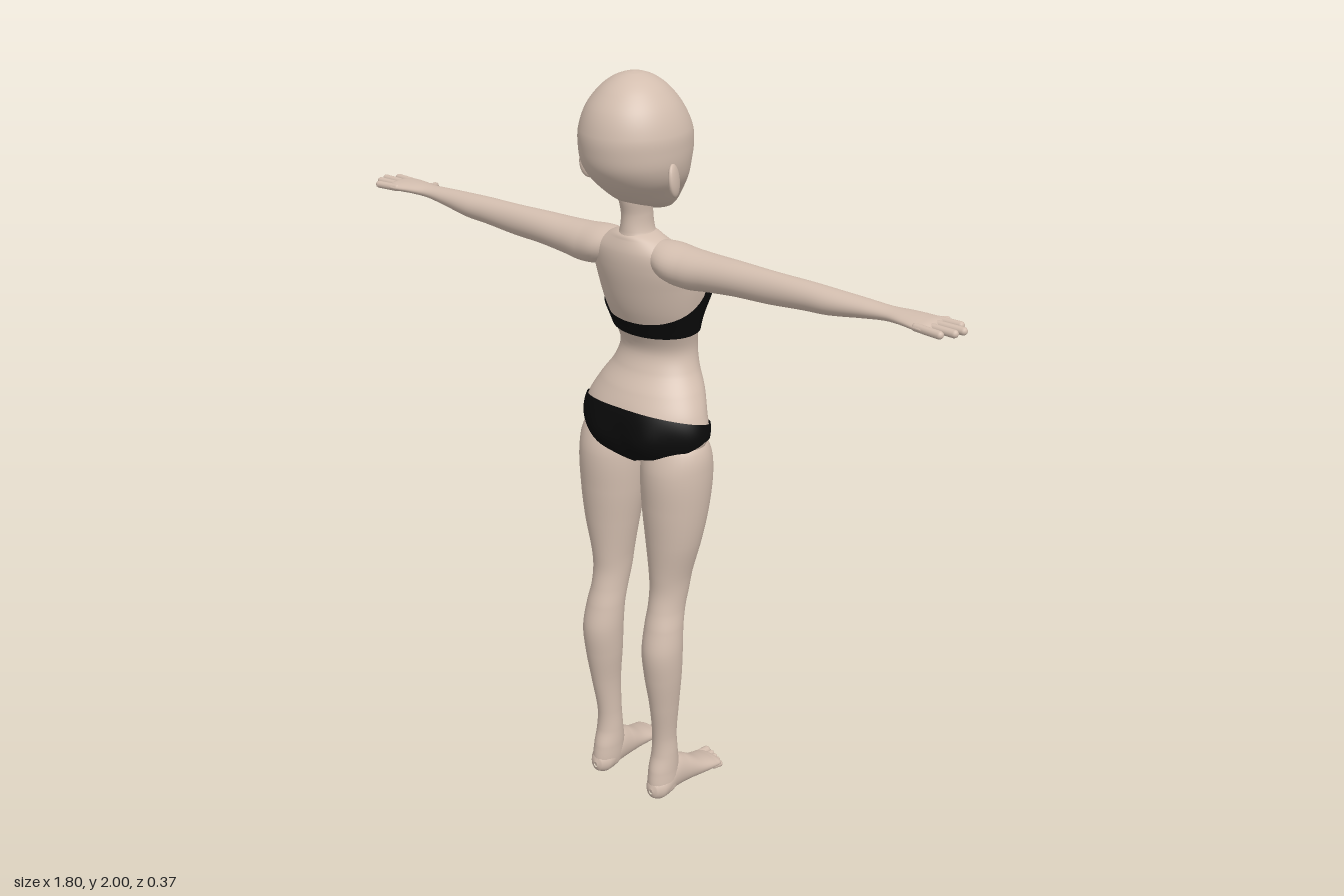
import * as THREE from 'three';
import { ParametricGeometry } from 'three/addons/geometries/ParametricGeometry.js';

const skin = new THREE.MeshStandardMaterial({ color: 0xd3beaf });
skin.name = 'skin';
const cloth = new THREE.MeshStandardMaterial({ color: 0x0a0a0a, side: THREE.DoubleSide });
cloth.name = 'black cloth';
const eyeWhite = new THREE.MeshStandardMaterial({ color: 0xe6dbd2, side: THREE.DoubleSide });
eyeWhite.name = 'eye white';

const bell = (d, w) => Math.exp(-(d * d) / (w * w));

// Smooth interpolation of section rows [t, centreA, centreB, radiusA, radiusB]
function sample(rows, t) {
  let i = 0;
  while (i < rows.length - 2 && t > rows[i + 1][0]) i++;
  const a = rows[i], b = rows[i + 1], h = b[0] - a[0], s = (t - a[0]) / h;
  const slope = (k, c) => {
    const p = rows[Math.max(k - 1, 0)], q = rows[Math.min(k + 1, rows.length - 1)];
    return (q[c] - p[c]) / (q[0] - p[0]);
  };
  return [1, 2, 3, 4].map((c) =>
    a[c] * (1 + 2 * s) * (1 - s) ** 2 + b[c] * s * s * (3 - 2 * s) +
    h * (slope(i, c) * s * (1 - s) ** 2 - slope(i + 1, c) * s * s * (1 - s)));
}

// Point on a section stack running along an axis
const point = {
  y: (rows, t, th, p) => {
    const [cx, cz, rx, rz] = sample(rows, t);
    return p.set(cx + rx * Math.sin(th), t, cz - rz * Math.cos(th));
  },
  x: (rows, t, th, p) => {
    const [cy, cz, ry, rz] = sample(rows, t);
    return p.set(t, cy + ry * Math.cos(th), cz - rz * Math.sin(th));
  },
  z: (rows, t, th, p) => {
    const [cx, cy, rx, ry] = sample(rows, t);
    return p.set(cx + rx * Math.cos(th), cy + ry * Math.sin(th), -t);
  },
};

function add(group, name, geometry, material = skin) {
  const mesh = new THREE.Mesh(geometry, material);
  mesh.name = name;
  group.add(mesh);
  return mesh;
}

// Lofted limb; side -1 mirrors it, shape adds local relief
function loft(rows, axis, side = 1, shape = null, segs = 32, steps = 5) {
  const n = rows.length - 1;
  return new ParametricGeometry((u, v, p) => {
    const k = Math.min(Math.floor(v * n), n - 1), f = v * n - k;
    const t = rows[k][0] + (rows[k + 1][0] - rows[k][0]) * f;
    const th = -2 * Math.PI * u * side;
    point[axis](rows, t, th, p);
    if (shape) shape(p, th);
    p.x *= side;
  }, segs, n * steps);
}

// Rounded bar between two points, for fingers and toes
function bar(group, name, a, b, r) {
  const A = new THREE.Vector3(...a), B = new THREE.Vector3(...b);
  const d = B.clone().sub(A);
  const mesh = add(group, name, new THREE.CapsuleGeometry(r, d.length(), 6, 12));
  mesh.position.copy(A).addScaledVector(d, 0.5);
  mesh.quaternion.setFromUnitVectors(new THREE.Vector3(0, 1, 0), d.normalize());
}

const torsoRows = [
  [0.99, 0, 0, 0.008, 0.01], [1.0, 0, 0, 0.045, 0.045], [1.03, 0, 0.004, 0.135, 0.08],
  [1.06, 0, 0.003, 0.173, 0.095], [1.1, 0, 0.001, 0.185, 0.103], [1.15, 0, -0.004, 0.173, 0.106],
  [1.2, 0, -0.023, 0.149, 0.102], [1.25, 0, -0.042, 0.119, 0.088], [1.3, 0, -0.05, 0.107, 0.08],
  [1.36, 0, -0.036, 0.118, 0.088], [1.42, 0, -0.022, 0.132, 0.097], [1.48, 0, -0.01, 0.142, 0.1],
  [1.53, 0, 0.006, 0.144, 0.092], [1.57, 0, 0.025, 0.127, 0.073], [1.6, 0, 0.034, 0.08, 0.055],
  [1.615, 0, 0.035, 0.045, 0.044], [1.62, 0, 0.035, 0.02, 0.02],
];
// Bust at the front, buttocks at the back
function torsoRelief(p, th) {
  const ax = Math.abs(p.x), sx = Math.sign(p.x);
  const front = THREE.MathUtils.smoothstep(Math.cos(th), -0.1, 0.4);
  const back = THREE.MathUtils.smoothstep(-Math.cos(th), -0.1, 0.4);
  const bust = front * bell(ax - 0.068, 0.046) * bell(p.y - 1.435, 0.05);
  p.z -= 0.058 * bust;
  p.x += sx * 0.008 * bust;
  p.z += 0.017 * back * bell(ax - 0.075, 0.055) * bell(p.y - 1.085, 0.05);
}

// Garment shell between two edge curves over the torso
function garment(low, high) {
  const rows = torsoRows.map(([t, a, b, ra, rb]) => [t, a, b, ra + 0.005, rb + 0.005]);
  return new ParametricGeometry((u, v, p) => {
    const th = -2 * Math.PI * u;
    point.y(rows, THREE.MathUtils.lerp(low(th), high(th), v), th, p);
    torsoRelief(p, th);
  }, 96, 20);
}

const headRows = [
  [1.652, 0, -0.055, 0.008, 0.01], [1.658, 0, -0.05, 0.028, 0.032], [1.67, 0, -0.035, 0.046, 0.055],
  [1.69, 0, -0.01, 0.068, 0.085], [1.72, 0, 0.01, 0.092, 0.108], [1.755, 0, 0.027, 0.116, 0.126],
  [1.79, 0, 0.037, 0.128, 0.138], [1.83, 0, 0.039, 0.132, 0.144], [1.87, 0, 0.041, 0.13, 0.141],
  [1.92, 0, 0.045, 0.112, 0.12], [1.96, 0, 0.046, 0.083, 0.088], [1.985, 0, 0.046, 0.052, 0.055],
  [1.997, 0, 0.046, 0.022, 0.024], [2.0, 0, 0.046, 0.001, 0.001],
];
// Eye hollows, nose and lips
function faceRelief(p, th) {
  if (Math.cos(th) < 0) return;
  const ax = Math.abs(p.x), y = p.y;
  p.z += 0.012 * bell(ax - 0.055, 0.035) * bell(y - 1.785, 0.03);
  p.z += 0.007 * bell(ax, 0.05) * bell(y - 1.775, 0.03);
  p.z -= 0.017 * bell(ax, 0.012) * bell(y - 1.738, 0.014);
  p.z -= 0.005 * bell(ax, 0.02) * bell(y - 1.703, 0.01);
}

const neckRows = [
  [1.56, 0, 0.035, 0.075, 0.055], [1.595, 0, 0.035, 0.056, 0.052], [1.62, 0, 0.035, 0.04, 0.047],
  [1.66, 0, 0.036, 0.035, 0.044], [1.7, 0, 0.042, 0.038, 0.046], [1.74, 0, 0.045, 0.04, 0.045],
];
const armRows = [
  [0.04, 1.572, 0.035, 0.028, 0.03], [0.1, 1.557, 0.03, 0.047, 0.06], [0.16, 1.55, 0.03, 0.05, 0.057],
  [0.22, 1.552, 0.03, 0.046, 0.05], [0.3, 1.556, 0.032, 0.042, 0.043], [0.4, 1.558, 0.035, 0.039, 0.036],
  [0.5, 1.562, 0.035, 0.034, 0.035], [0.56, 1.563, 0.035, 0.031, 0.035], [0.65, 1.568, 0.033, 0.022, 0.029],
  [0.71, 1.571, 0.033, 0.016, 0.027], [0.76, 1.573, 0.034, 0.014, 0.038], [0.8, 1.573, 0.037, 0.013, 0.045],
  [0.825, 1.573, 0.039, 0.01, 0.043], [0.835, 1.573, 0.039, 0.002, 0.03],
];
const legRows = [
  [1.11, 0.1, 0.0, 0.055, 0.05], [1.06, 0.102, 0.002, 0.085, 0.08], [1.0, 0.1025, 0.004, 0.0925, 0.095],
  [0.9, 0.103, 0.008, 0.087, 0.09], [0.8, 0.103, 0.015, 0.073, 0.076], [0.7, 0.098, 0.02, 0.054, 0.063],
  [0.65, 0.097, 0.024, 0.049, 0.058], [0.6, 0.0975, 0.036, 0.047, 0.055], [0.55, 0.1, 0.05, 0.05, 0.055],
  [0.48, 0.1025, 0.06, 0.0525, 0.059], [0.4, 0.103, 0.057, 0.048, 0.055], [0.3, 0.1025, 0.05, 0.037, 0.045],
  [0.2, 0.098, 0.043, 0.031, 0.037], [0.14, 0.098, 0.042, 0.034, 0.04], [0.09, 0.098, 0.046, 0.036, 0.05],
  [0.03, 0.1, 0.05, 0.034, 0.05], [0.008, 0.1, 0.05, 0.02, 0.03],
].reverse();
const footRows = [
  [-0.105, 0.1, 0.036, 0.006, 0.008], [-0.098, 0.1, 0.037, 0.02, 0.024], [-0.075, 0.1, 0.041, 0.034, 0.039],
  [-0.02, 0.1, 0.06, 0.036, 0.055], [0.03, 0.103, 0.049, 0.038, 0.045], [0.08, 0.108, 0.032, 0.042, 0.029],
  [0.13, 0.11, 0.02, 0.045, 0.018], [0.15, 0.11, 0.017, 0.041, 0.012], [0.156, 0.11, 0.016, 0.02, 0.004],
];

export function createModel() {
  const model = new THREE.Group();
  model.name = 'figure';

  add(model, 'torso', loft(torsoRows, 'y', 1, torsoRelief, 96));
  add(model, 'neck', loft(neckRows, 'y'));
  add(model, 'head', loft(headRows, 'y', 1, faceRelief, 96, 6));

  // Bandeau top and briefs
  add(model, 'top', garment(
    (th) => 1.349 + 0.004 * Math.cos(th),
    (th) => 1.385 + 0.105 * ((1 + Math.cos(th)) / 2) ** 1.2 - 0.045 * bell(Math.sin(th / 2), 0.11),
  ), cloth);
  add(model, 'briefs', garment(
    (th) => {
      const c = Math.cos(th);
      const drop = c > 0 ? 0.07 * c ** 3 : 0.06 * (-c) ** 1.2;
      return Math.max(0.991, 1.09 - drop - 0.04 * bell(Math.sin(th), 0.2));
    },
    (th) => 1.135 - 0.03 * Math.cos(th),
  ), cloth);

  for (const side of [1, -1]) {
    const label = side > 0 ? 'left' : 'right';
    add(model, label + 'Leg', loft(legRows, 'y', side));
    add(model, label + 'Foot', loft(footRows, 'z', side));
    add(model, label + 'Arm', loft(armRows, 'x', side));

    // Eye plate following the face
    add(model, label + 'Eye', new ParametricGeometry((u, v, p) => {
      const r = Math.max(v, 0.001), a = 2 * Math.PI * u;
      const th = 0.5 + 0.23 * r * Math.cos(a);
      point.y(headRows, 1.785 + 0.023 * r * Math.sin(a), th, p);
      faceRelief(p, th);
      p.set(side * (p.x + 0.001), p.y, p.z - 0.003);
    }, 24, 6), eyeWhite);

    const ear = add(model, label + 'Ear', new THREE.SphereGeometry(1, 20, 14));
    ear.scale.set(0.011, 0.042, 0.028);
    ear.position.set(side * 0.129, 1.765, 0.058);
    ear.rotation.set(0.2, side * 0.35, 0);

    // Fingers and thumb
    [0.868, 0.89, 0.883, 0.862].forEach((tip, i) => {
      const z = 0.006 + 0.022 * i;
      bar(model, label + 'Finger', [side * 0.8, 1.573, z], [side * tip, 1.572, z + (i - 1.5) * 0.004], 0.0095);
    });
    bar(model, label + 'Thumb', [side * 0.735, 1.563, 0.015], [side * 0.775, 1.553, -0.025], 0.015);
    bar(model, label + 'Thumb', [side * 0.77, 1.553, -0.022], [side * 0.798, 1.546, -0.066], 0.01);

    // Toes, largest on the inside
    [0.172, 0.174, 0.167, 0.159, 0.149].forEach((tip, i) => {
      const x = 0.079 + 0.0165 * i, r = i ? 0.009 : 0.0125;
      bar(model, label + 'Toe', [side * x, r + 0.006, -0.125], [side * (x + 0.002), r, -tip], r);
    });
  }
  return model;
}
